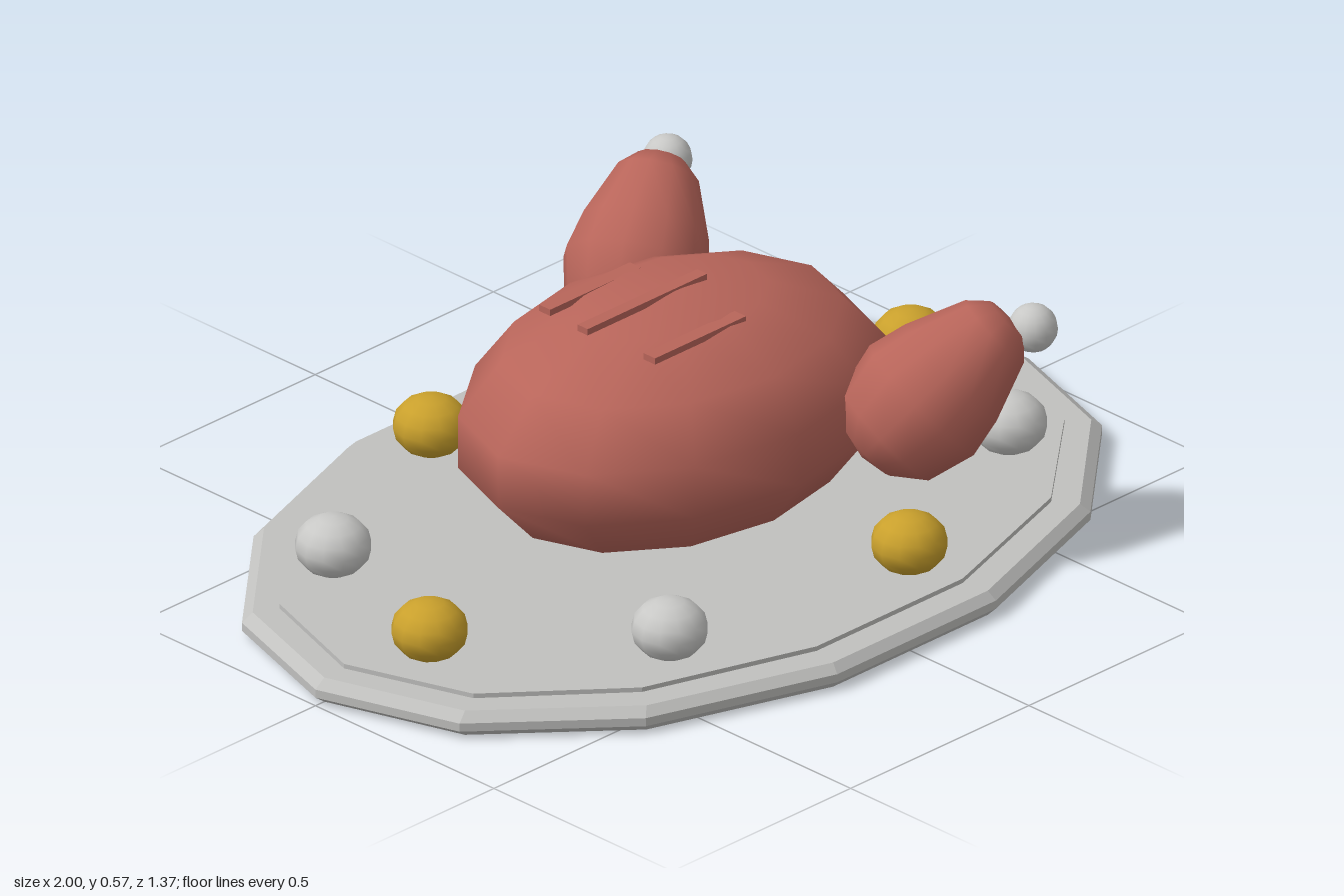
import * as THREE from 'three';

const mat = (name, color, flatShading = false) => {
  const m = new THREE.MeshStandardMaterial({ color, flatShading });
  m.name = name;
  return m;
};

const lathe = (pts, sides) =>
  new THREE.LatheGeometry(pts.map(([r, y]) => new THREE.Vector2(r, y)), sides, Math.PI / 2);

export function createModel() {
  const group = new THREE.Group();
  const silver = mat('silver', 0xc0c0be, true);
  const roast = mat('roastRed', 0xb8655a);
  const pale = mat('paleGrey', 0xc8c8c6);
  const gold = mat('gold', 0xc9a02c);

  const add = (name, geo, material, x = 0, y = 0, z = 0, parent = group) => {
    const mesh = new THREE.Mesh(geo, material);
    mesh.name = name;
    mesh.position.set(x, y, z);
    parent.add(mesh);
    return mesh;
  };

  // Oval fourteen-sided platter with a bevelled rim and a raised inner plate
  const rim = lathe([[0, 0], [0.975, 0], [1, 0.018], [1, 0.036], [0.975, 0.054], [0, 0.054]], 14);
  add('platter', rim.scale(1, 1, 0.703), silver);
  const inner = lathe([[0.92, 0.05], [0.92, 0.064], [0, 0.064]], 14);
  add('platterTop', inner.scale(1, 1, 0.68), silver);

  // Roast body
  add('body', new THREE.SphereGeometry(1, 12, 7).scale(0.5, 0.257, 0.365), roast, 0, 0.31, 0);

  // Three raised strips along the back of the roast
  add('middleStrip', new THREE.BoxGeometry(0.335, 0.014, 0.028), roast, -0.083, 0.563, 0);
  for (const s of [1, -1]) {
    add('sideStrip', new THREE.BoxGeometry(0.255, 0.014, 0.032), roast, -0.083, 0.538, s * 0.147);
  }

  // Drumsticks with a round bone end, mirrored front to back
  const legGeo = lathe([[0, -0.165], [0.065, -0.15], [0.125, -0.1], [0.15, 0],
    [0.132, 0.08], [0.085, 0.2], [0.05, 0.235], [0, 0.24]], 12);
  const boneGeo = new THREE.SphereGeometry(0.05, 14, 10);
  const up = new THREE.Vector3(0, 1, 0);
  for (const s of [1, -1]) {
    const leg = add('drumstick', legGeo, roast, 0.3, 0.35, s * 0.4);
    leg.quaternion.setFromUnitVectors(up, new THREE.Vector3(0.66, 0.66, s * 0.36).normalize());
    add('boneEnd', boneGeo, pale, 0.5, 0.48, s * 0.512);
  }

  // Garnish balls around the platter, alternating gold and pale
  const ballGeo = new THREE.SphereGeometry(0.078, 12, 8).scale(1, 0.82, 1);
  const golds = [[-0.78, 0.1], [-0.16, -0.515], [0.775, -0.105], [0.155, 0.51]];
  const pales = [[-0.66, -0.29], [-0.44, 0.433], [0.658, 0.287], [0.44, -0.433]];
  golds.forEach(([x, z]) => add('goldGarnish', ballGeo, gold, x, 0.127, z));
  pales.forEach(([x, z]) => add('paleGarnish', ballGeo, pale, x, 0.127, z));

  return group;
}
